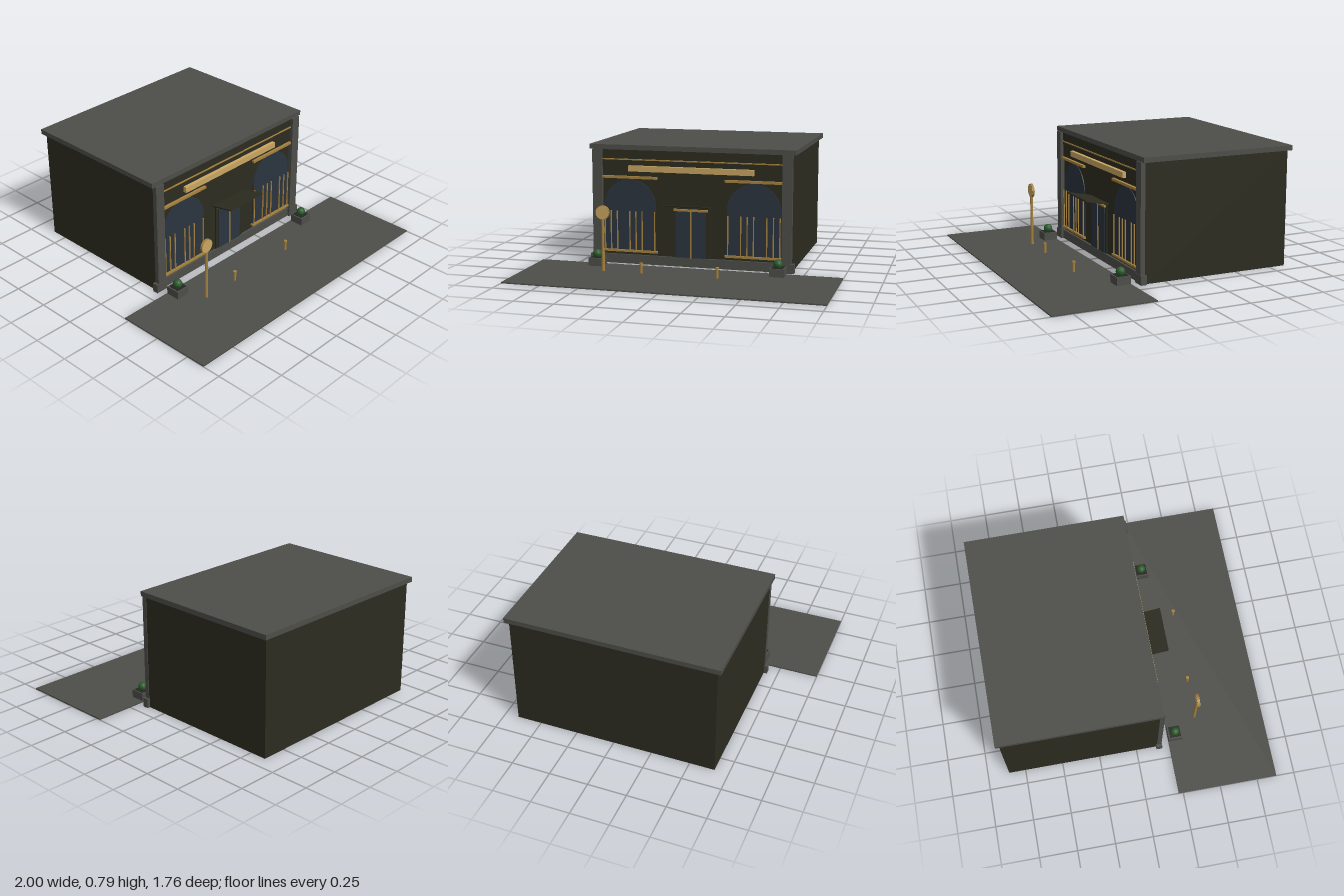
import * as THREE from 'three';

const mat = (name, color) => {
  const m = new THREE.MeshStandardMaterial({ color });
  m.name = name;
  return m;
};

export function createModel() {
  const model = new THREE.Group();
  model.name = 'shopfront';

  const stone = mat('grey stone', 0x4d4d49);
  const wall = mat('dark olive wall', 0x2d2c20);
  const glass = mat('navy glass', 0x2b343e);
  const brass = mat('brass', 0xa5823f);
  const paleBrass = mat('pale brass', 0xc9a562);
  const soil = mat('dark soil', 0x262620);
  const leaf = mat('green leaf', 0x2b5a2c);

  const add = (name, geometry, material, x = 0, y = 0, z = 0, parent = model) => {
    const mesh = new THREE.Mesh(geometry, material);
    mesh.name = name;
    mesh.position.set(x, y, z);
    parent.add(mesh);
    return mesh;
  };
  // Box given by its limits on each axis
  const box = (name, material, x0, x1, y0, y1, z0, z1, parent = model) =>
    add(name, new THREE.BoxGeometry(x1 - x0, y1 - y0, z1 - z0), material,
      (x0 + x1) / 2, (y0 + y1) / 2, (z0 + z1) / 2, parent);

  // Pavement, building body and roof
  box('pavement', stone, -1, 1, 0, 0.008, 0.22, 0.88);
  box('building', wall, -0.66, 0.66, 0, 0.755, -0.86, 0.14);
  box('roof', stone, -0.685, 0.685, 0.753, 0.785, -0.88, 0.158);

  // Facade bands and sign board
  box('plinth', stone, -0.6, 0.6, 0, 0.06, 0.14, 0.155);
  box('frieze', wall, -0.6, 0.6, 0.585, 0.753, 0.14, 0.148);
  box('friezeLine', brass, -0.6, 0.6, 0.686, 0.694, 0.148, 0.154);
  box('signBoard', paleBrass, -0.415, 0.415, 0.615, 0.652, 0.148, 0.172);

  // Door with frame, handle strip and lintel
  box('doorFrame', wall, -0.125, 0.125, 0.06, 0.39, 0.14, 0.148);
  for (const s of [-1, 1]) {
    add('doorLeaf', new THREE.BoxGeometry(0.098, 0.305, 0.008), glass, s * 0.052, 0.2125, 0.149);
  }
  box('doorStrip', brass, -0.005, 0.005, 0.06, 0.365, 0.145, 0.157);
  box('doorLintel', brass, -0.115, 0.115, 0.366, 0.38, 0.145, 0.16);

  // Sloping canopy over the door
  const canopy = add('canopy', new THREE.BoxGeometry(0.3, 0.008, 0.168), wall, 0, 0.41, 0.222);
  canopy.rotation.x = -0.2;

  // Arched window outline
  const r = 0.176;
  const arch = new THREE.Shape();
  arch.moveTo(-r, 0.085);
  arch.lineTo(r, 0.085);
  arch.lineTo(r, 0.385);
  arch.absarc(0, 0.385, r, 0, Math.PI, false);
  arch.lineTo(-r, 0.085);
  const archGeometry = new THREE.ExtrudeGeometry(arch, {
    depth: 0.006, bevelEnabled: false, curveSegments: 16,
  });
  const barGeometry = new THREE.BoxGeometry(0.007, 0.265, 0.007);

  for (const s of [-1, 1]) {
    const side = new THREE.Group();
    side.name = s > 0 ? 'leftBay' : 'rightBay';
    model.add(side);

    // Corner pilaster and its base
    add('pilaster', new THREE.BoxGeometry(0.065, 0.753, 0.03), stone, s * 0.631, 0.3765, 0.153, side);
    add('pilasterBase', new THREE.BoxGeometry(0.085, 0.06, 0.038), stone, s * 0.638, 0.03, 0.152, side);

    // Arched window, railing bars and rails
    add('archedWindow', archGeometry, glass, s * 0.414, 0, 0.14, side);
    for (const x of [0.245, 0.33, 0.372, 0.414, 0.5, 0.543, 0.585]) {
      add('windowBar', barGeometry, brass, s * x, 0.2175, 0.152, side);
    }
    add('upperRail', new THREE.BoxGeometry(0.375, 0.016, 0.02), brass, s * 0.413, 0.573, 0.15, side);
    add('lowerRail', new THREE.BoxGeometry(0.375, 0.014, 0.02), brass, s * 0.413, 0.085, 0.15, side);

    // Planter with a clipped bush
    add('planter', new THREE.BoxGeometry(0.094, 0.052, 0.094), stone, s * 0.598, 0.034, 0.27, side);
    add('planterSoil', new THREE.BoxGeometry(0.074, 0.004, 0.074), soil, s * 0.598, 0.061, 0.27, side);
    add('bush', new THREE.SphereGeometry(0.03, 12, 8), leaf, s * 0.598, 0.082, 0.27, side);

    // Bollard with a wider cap
    add('bollard', new THREE.CylinderGeometry(0.009, 0.009, 0.06, 10), brass, s * 0.247, 0.038, 0.43, side);
    add('bollardCap', new THREE.CylinderGeometry(0.012, 0.012, 0.01, 10), brass, s * 0.247, 0.071, 0.43, side);
  }

  // Round disc on a post
  const post = new THREE.Group();
  post.name = 'discPost';
  post.position.set(-0.502, 0, 0.425);
  model.add(post);
  add('post', new THREE.CylinderGeometry(0.009, 0.011, 0.345, 10), brass, 0, 0.1805, 0, post);
  const rim = add('discRim', new THREE.CylinderGeometry(0.046, 0.046, 0.014, 24), brass, 0, 0.384, 0, post);
  rim.rotation.x = Math.PI / 2;
  const face = add('discFace', new THREE.CylinderGeometry(0.042, 0.042, 0.018, 24), paleBrass, 0, 0.384, 0, post);
  face.rotation.x = Math.PI / 2;

  return model;
}
